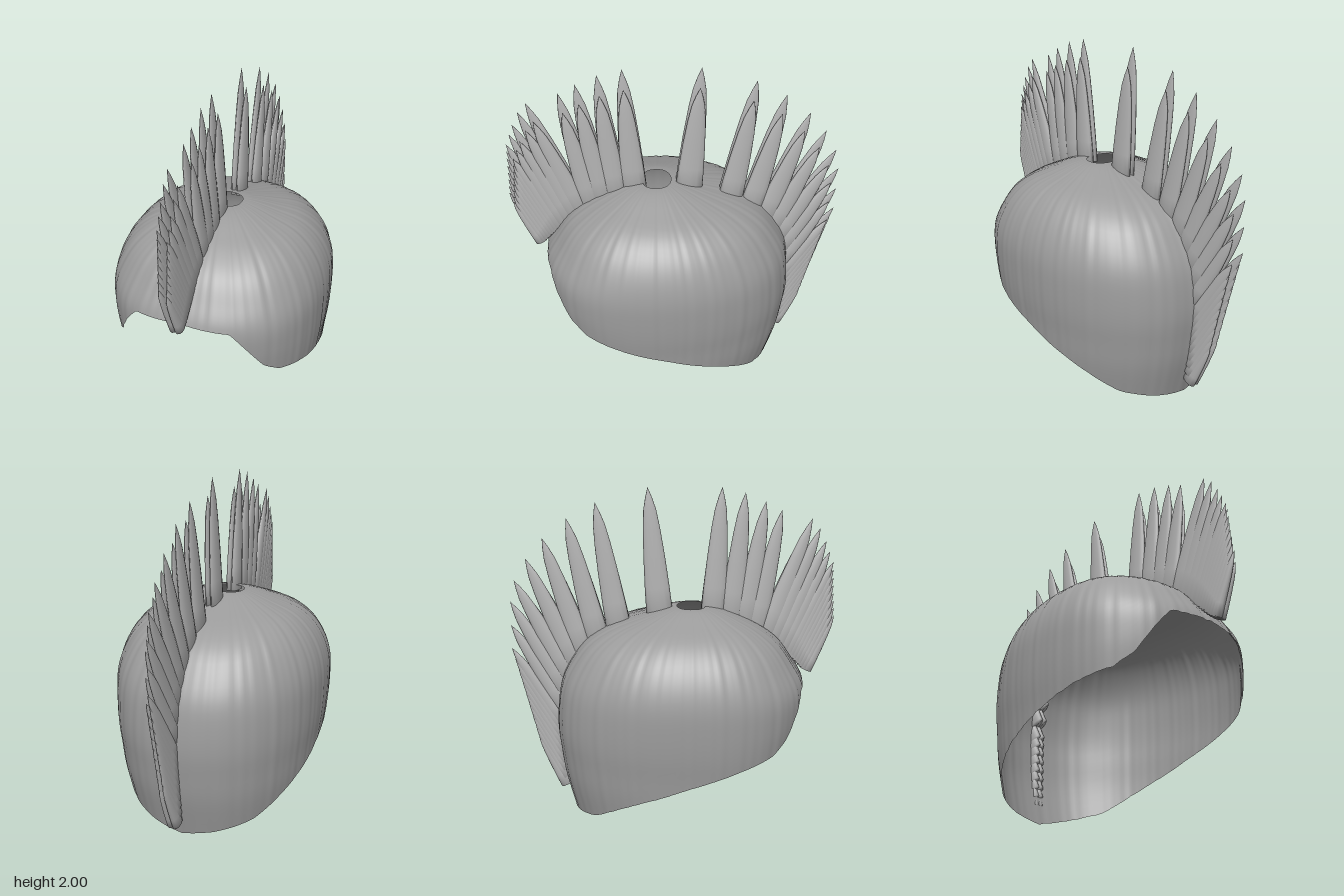
import * as THREE from 'three';

const AXIS_Z = 0.115; // the cap's vertical axis
const TOP_Y = 1.3;

// Cap radii by height: [y, front, side, back]
const CAP = [
  [1.3, 0.085, 0.1, 0.085], [1.285, 0.18, 0.18, 0.165], [1.245, 0.29, 0.295, 0.31],
  [1.2, 0.39, 0.415, 0.46], [1.12, 0.51, 0.515, 0.61], [1.0, 0.605, 0.59, 0.715],
  [0.87, 0.68, 0.626, 0.785], [0.7, 0.685, 0.633, 0.818], [0.55, 0.66, 0.627, 0.825],
  [0.44, 0.64, 0.615, 0.815], [0.28, 0.62, 0.6, 0.797], [0, 0.58, 0.55, 0.735],
];

// Lower rim by angle from the front: [angle, y]
const RIM = [
  [0, 0.88], [0.41, 0.86], [0.477, 0.81], [0.575, 0.72], [0.69, 0.61], [0.84, 0.54], [1.13, 0.49],
  [1.66, 0.38], [2.055, 0.28], [2.27, 0.21], [2.55, 0.1], [2.88, 0.04], [Math.PI, 0],
];

// Spikes, each [tip z, tip y, base z, base y, width], from the crown downwards
const FRONT = [
  [0.29, 2.0, 0.25, 1.26, 0.15], [0.425, 1.97, 0.36, 1.23, 0.145],
  [0.545, 1.92, 0.44, 1.2, 0.14], [0.64, 1.87, 0.51, 1.16, 0.135],
  [0.82, 1.82, 0.58, 1.12, 0.13], [0.87, 1.765, 0.62, 1.09, 0.125],
  [0.91, 1.69, 0.66, 1.06, 0.12], [0.96, 1.565, 0.72, 1.01, 0.11],
  [0.985, 1.235, 0.83, 0.89, 0.08],
];
const BACK = [
  [-0.14, 2.0, -0.075, 1.26, 0.16], [-0.445, 1.915, -0.325, 1.17, 0.15],
  [-0.615, 1.825, -0.455, 1.1, 0.145], [-0.76, 1.71, -0.545, 1.02, 0.14],
  [-0.865, 1.59, -0.6, 0.94, 0.135], [-0.94, 1.46, -0.64, 0.86, 0.13],
  [-0.97, 1.33, -0.67, 0.77, 0.125], [-0.98, 1.04, -0.695, 0.55, 0.11],
  [-0.85, 0.47, -0.68, 0.11, 0.09],
];

// Radii over the root of the drop from the crown, which keeps the dome smooth
const capRadii = new THREE.CubicInterpolant(
  CAP.map(([y]) => Math.sqrt(TOP_Y - y)), CAP.flatMap((row) => row.slice(1)), 3, new Float32Array(3));
const rimHeight = new THREE.LinearInterpolant(
  RIM.map((p) => p[0]), RIM.map((p) => p[1]), 1, new Float32Array(1));

// Open shell with faint strands: rounded cross-sections from the crown hole to the rim
function capGeometry() {
  const around = 288, rows = 32;
  const positions = [], index = [];
  for (let r = 0; r <= rows; r++) {
    for (let i = 0; i <= around; i++) {
      const angle = (i / around) * Math.PI * 2;
      const rim = rimHeight.evaluate(Math.min(angle, Math.PI * 2 - angle))[0];
      const drop = (TOP_Y - rim) * Math.pow(r / rows, 1.7);
      const [front, side, back] = capRadii.evaluate(Math.sqrt(drop));
      const s = Math.sin(angle), c = Math.cos(angle);
      const [depth, n] = c > 0 ? [front, 2.4] : [back, 2.2];
      const radius = Math.pow(Math.abs(s / side) ** n + Math.abs(c / depth) ** n, -1 / n);
      const strand = 0.0012 * radius * (Math.sin(31 * angle) + Math.sin(47 * angle + 1) + Math.sin(71 * angle + 2));
      positions.push((radius + strand) * s, TOP_Y - drop + strand, AXIS_Z + (radius + strand) * c);
    }
  }
  const w = around + 1;
  for (let r = 0; r < rows; r++) {
    for (let i = 0; i < around; i++) {
      const a = r * w + i, b = a + w;
      index.push(a, b, a + 1, b, b + 1, a + 1);
    }
  }
  const geometry = new THREE.BufferGeometry();
  geometry.setAttribute('position', new THREE.Float32BufferAttribute(positions, 3));
  geometry.setIndex(index);
  geometry.computeVertexNormals();
  return geometry;
}

// Insert extra spikes evenly after the given key
function fill(keys, after, count) {
  const extra = [];
  for (let i = 1; i <= count; i++) {
    extra.push(keys[after].map((v, k) => THREE.MathUtils.lerp(v, keys[after + 1][k], i / (count + 1))));
  }
  return [...keys.slice(0, after + 1), ...extra, ...keys.slice(after + 1)];
}

export function createModel() {
  const model = new THREE.Group();
  const capMaterial = new THREE.MeshStandardMaterial({ color: 0x9c9c9c, side: THREE.DoubleSide });
  const spikeMaterial = new THREE.MeshStandardMaterial({ color: 0xb4b4b4 });

  const cap = new THREE.Mesh(capGeometry(), capMaterial);
  cap.name = 'cap';
  model.add(cap);

  // Unit spike, flattened and stretched for each placement
  const profile = [[0, 0], [1, 0], [0.93, 0.2], [0.8, 0.45], [0.63, 0.68], [0.46, 0.83], [0.25, 0.92], [0, 1]];
  const spikeGeometry = new THREE.LatheGeometry(profile.map(([x, y]) => new THREE.Vector2(x, y)), 12);

  function addRow(name, spikes, x, scale) {
    const row = new THREE.Group();
    row.name = name;
    for (const [tipZ, tipY, baseZ, baseY, width] of spikes) {
      const dy = tipY - baseY, dz = tipZ - baseZ;
      const spike = new THREE.Mesh(spikeGeometry, spikeMaterial);
      spike.name = 'spike';
      spike.position.set(x, baseY, baseZ);
      spike.rotation.x = Math.atan2(dz, dy);
      spike.scale.set(0.026, Math.hypot(dy, dz) * scale, width / 2);
      row.add(spike);
    }
    model.add(row);
  }

  // Tall row and a shorter row beside it, over the front and the back
  const front = fill(fill(FRONT, 7, 6), 6, 1);
  const back = fill(fill(BACK, 7, 7), 6, 1);
  for (const [place, spikes] of [['front', front], ['back', back]]) {
    addRow(place + 'TallSpikes', spikes, -0.004, 1);
    addRow(place + 'ShortSpikes', spikes, 0.028, 0.86);
  }
  return model;
}
